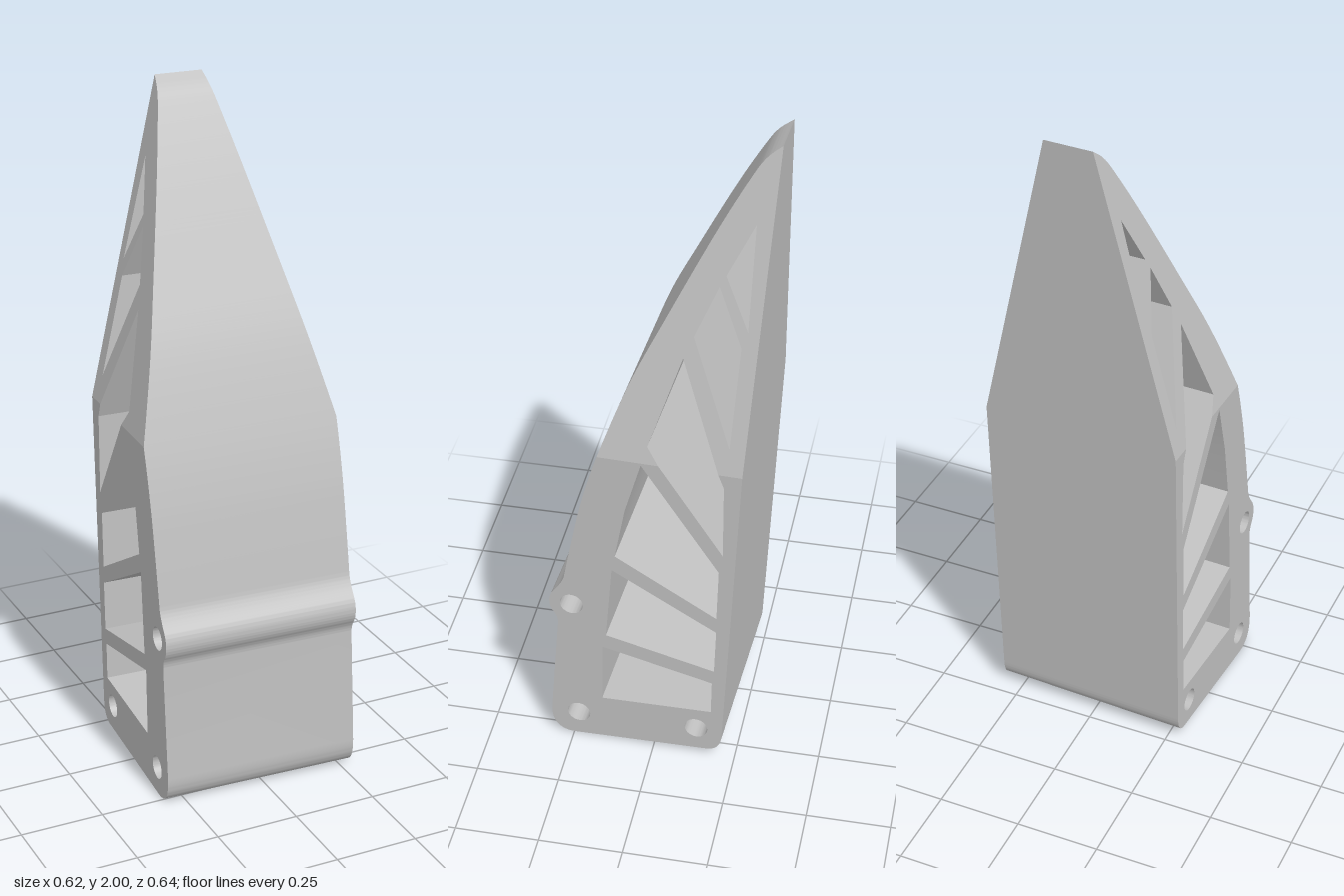
import * as THREE from 'three';
import { toCreasedNormals } from 'three/addons/utils/BufferGeometryUtils.js';

const HALF = 0.297;       // half width of the straight lower part
const TIP_HALF = 0.072;   // half width at the tip
const BEND = 1.07;        // height where the sides start to taper

// Side profile is written as (z, y); shape x is -z
const v = (z, y) => new THREE.Vector2(-z, y);

function sideProfile() {
  const s = new THREE.Shape();
  const line = (z, y) => s.lineTo(-z, y);
  const curve = (cz, cy, z, y) => s.quadraticCurveTo(-cz, cy, -z, y);
  s.moveTo(0.224, 0.085);
  curve(-0.222, 0.025, -0.1765, 0.022);   // rounded back foot
  line(0.235, 0);
  curve(0.309, 0, 0.305, 0.09);           // rounded front foot
  line(0.277, 0.43);
  curve(0.275, 0.454, 0.288, 0.473);      // boss with fillets
  s.absarc(-0.231, 0.513, 0.07, Math.PI + 0.61, Math.PI - 0.66, true);
  curve(0.259, 0.591, 0.2535, 0.615);
  s.splineThru([                          // curved front
    v(0.226, 0.757), v(0.194, 0.905), v(0.146, 1.07), v(0.064, 1.296),
    v(-0.029, 1.497), v(-0.152, 1.751), v(-0.236, 1.908), v(-0.273, 1.964), v(-0.314, 2),
  ]);
  s.closePath();

  // Truss windows between the struts
  const windows = [
    [[0.141, 0.365], [-0.192, 0.291], [-0.19, 0.175], [0.146, 0.159]],
    [[0.109, 0.667], [-0.203, 0.492], [-0.198, 0.339], [0.13, 0.413]],
    [[0.019, 1.063], [-0.208, 0.72], [-0.203, 0.545], [0.099, 0.72], [0.067, 0.894]],
    [[-0.083, 1.39], [-0.219, 1.026], [-0.219, 0.783], [0.003, 1.122]],
    [[-0.171, 1.603], [-0.242, 1.44], [-0.229, 1.148], [-0.109, 1.455]],
    [[-0.259, 1.783], [-0.257, 1.487], [-0.187, 1.635]],
  ];
  // Holes run opposite to the outline so their walls face inwards
  for (const w of windows) s.holes.push(new THREE.Path(w.map(([z, y]) => v(z, y)).reverse()));

  // Round bolt holes
  for (const [z, y] of [[0.22, 0.085], [-0.145, 0.1], [0.2335, 0.513]]) {
    s.holes.push(new THREE.Path().absarc(-z, y, 0.035, 0, Math.PI * 2, false));
  }
  return s;
}

// Cut every triangle that crosses the height h, so the sides can bend there
function splitAtHeight(geometry, h) {
  const pos = geometry.attributes.position;
  const out = [];
  const emit = (...pts) => pts.forEach((p) => out.push(p.x, p.y, p.z));
  const cut = (a, b) => a.clone().lerp(b, (h - a.y) / (b.y - a.y));
  const side = (p) => (Math.abs(p.y - h) < 1e-5 ? 0 : Math.sign(p.y - h));
  for (let i = 0; i < pos.count; i += 3) {
    const t = [0, 1, 2].map((k) => new THREE.Vector3().fromBufferAttribute(pos, i + k));
    const d = t.map(side);
    if (!(d.includes(1) && d.includes(-1))) { emit(...t); continue; }
    const on = d.indexOf(0);
    // k is the corner alone on its side, or the one lying on the cut
    const k = on >= 0 ? on : [0, 1, 2].find((j) => d[j] !== d[(j + 1) % 3] && d[j] !== d[(j + 2) % 3]);
    const a = t[k], b = t[(k + 1) % 3], c = t[(k + 2) % 3];
    if (on >= 0) {
      const m = cut(b, c);
      emit(a, b, m, a, m, c);
    } else {
      const p = cut(a, b), q = cut(a, c);
      emit(a, p, q, p, b, c, p, c, q);
    }
  }
  const g = new THREE.BufferGeometry();
  g.setAttribute('position', new THREE.Float32BufferAttribute(out, 3));
  return g;
}

export function createModel() {
  const grey = new THREE.MeshStandardMaterial({ color: 0xc0c0c0 });
  grey.name = 'light grey';

  // Extrude the profile across the width
  const solid = new THREE.ExtrudeGeometry(sideProfile(), {
    depth: HALF * 2, bevelEnabled: false, curveSegments: 20,
  });
  solid.translate(0, 0, -HALF);
  solid.rotateY(Math.PI / 2);
  const flat = splitAtHeight(solid, BEND);

  // Taper the sides towards the tip
  const pos = flat.attributes.position;
  for (let i = 0; i < pos.count; i++) {
    const t = Math.max(0, (pos.getY(i) - BEND) / (2 - BEND));
    pos.setX(i, pos.getX(i) * THREE.MathUtils.lerp(1, TIP_HALF / HALF, t));
  }

  const body = new THREE.Mesh(toCreasedNormals(flat, 0.2), grey);
  body.name = 'trussFinBody';
  body.rotation.y = -0.045;   // slight turn to one side

  const group = new THREE.Group();
  group.name = 'trussFin';
  group.add(body);
  return group;
}
